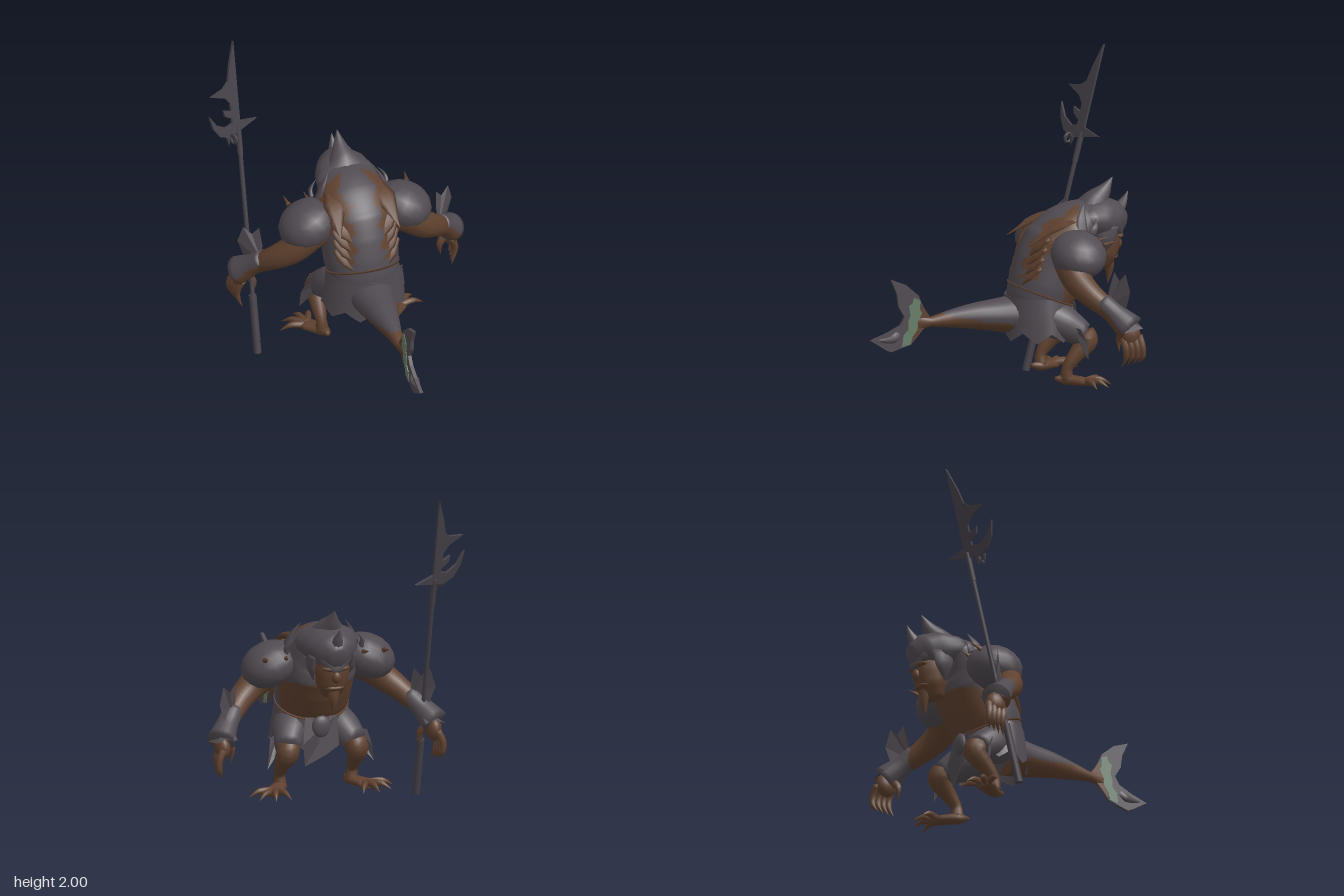
import * as THREE from 'three';

const paint = (name, color) => {
  const m = new THREE.MeshStandardMaterial({ color, side: THREE.DoubleSide });
  m.name = name;
  return m;
};
const V = (a) => new THREE.Vector3(a[0], a[1], a[2]);

export function createModel() {
  const hide = paint('slate hide', 0x514b51), skin = paint('brown skin', 0x5f412f);
  const iron = paint('dark iron', 0x464249), green = paint('tail green', 0x677f69);
  const root = new THREE.Group();
  root.name = 'seaWarrior';
  const body = new THREE.Group();
  body.name = 'body';
  body.position.x = 0.04;
  root.add(body);

  const add = (name, geo, mat, parent = body) => {
    const m = new THREE.Mesh(geo, mat);
    m.name = name;
    parent.add(m);
    return m;
  };

  // Smooth loft through sections [x, y, z, radiusA, radiusB]; pick(point) chooses a material index
  const loft = (name, secs, mat, { ref = [1, 0, 0], seg = 12, steps = 4, pick = null } = {}) => {
    const path = new THREE.CatmullRomCurve3(secs.map(V));
    const rad = secs.map((s) => [s[3], s[4] ?? s[3]]);
    const n = (secs.length - 1) * steps, pos = [], idx = [[], []];
    for (let i = 0; i <= n; i++) {
      const t = i / n, c = path.getPoint(t), T = path.getTangent(t);
      const k = Math.min(Math.floor(i / steps), secs.length - 2), f = i / steps - k;
      const ra = THREE.MathUtils.lerp(rad[k][0], rad[k + 1][0], f);
      const rb = THREE.MathUtils.lerp(rad[k][1], rad[k + 1][1], f);
      const A = V(ref).addScaledVector(T, -V(ref).dot(T)).normalize();
      const B = T.clone().cross(A);
      for (let j = 0; j < seg; j++) {
        const a = (j / seg) * Math.PI * 2;
        const p = c.clone().addScaledVector(A, ra * Math.cos(a)).addScaledVector(B, rb * Math.sin(a));
        pos.push(p.x, p.y, p.z);
      }
    }
    const e = pos.length / 3;
    pos.push(...secs[0].slice(0, 3), ...secs.at(-1).slice(0, 3));
    const face = (...f) => {
      const p = [0, 1, 2].map((d) => f.reduce((s, q) => s + pos[q * 3 + d], 0) / 3);
      idx[pick ? pick(...p) : 0].push(...f);
    };
    for (let j = 0; j < seg; j++) {
      const j2 = (j + 1) % seg;
      for (let i = 0; i < n; i++) {
        const a = i * seg + j, b = i * seg + j2;
        face(a, b, b + seg);
        face(a, b + seg, a + seg);
      }
      face(e, j2, j);
      face(e + 1, n * seg + j, n * seg + j2);
    }
    const g = new THREE.BufferGeometry();
    g.setAttribute('position', new THREE.Float32BufferAttribute(pos, 3));
    g.setIndex([...idx[0], ...idx[1]]);
    if (pick) {
      g.addGroup(0, idx[0].length, 0);
      g.addGroup(idx[0].length, idx[1].length, 1);
    }
    g.computeVertexNormals();
    return add(name, g, mat);
  };
  const ball = (name, mat, c, r) => add(name, new THREE.SphereGeometry(1, 16, 10).scale(...r).translate(...c), mat);
  // Flat polygon fan from 3D corners
  const fan = (name, pts, mat) => {
    const g = new THREE.BufferGeometry().setFromPoints(
      pts.slice(2).flatMap((p, i) => [V(pts[0]), V(pts[i + 1]), V(p)]));
    g.computeVertexNormals();
    return add(name, g, mat);
  };
  const plate = (pts, depth) => new THREE.ExtrudeGeometry(
    new THREE.Shape(pts.map((p) => new THREE.Vector2(...p))), { depth, bevelEnabled: false }).translate(0, 0, -depth / 2);

  // Torso: brown flanks with a notched edge on the back, brown belly in front
  loft('torso', [
    [0, 0.5, -0.19, 0.19, 0.165], [0, 0.58, -0.215, 0.218, 0.195], [0, 0.67, -0.25, 0.232, 0.215], [0, 0.78, -0.3, 0.235, 0.23],
    [0, 0.9, -0.36, 0.245, 0.23], [0, 1.0, -0.43, 0.235, 0.175], [0, 1.06, -0.52, 0.18, 0.12], [0, 1.06, -0.6, 0.12, 0.1],
  ], [hide, skin], {
    seg: 56, steps: 7, pick: (x, y, z) => {
      const ax = Math.abs(x), back = z + 0.2 + 0.45 * (y - 0.56) > 0.02;
      if (!back) return y > 0.5 && y < 0.8 && z < -0.3 ? 1 : 0;
      const saw = ((y + ax * 0.9) * 9) % 1;
      return y > 0.74 && ax < (y > 0.9 ? 0.24 : 0.19) && ax > 0.06 + 0.06 * saw ? 1 : 0;
    },
  });
  loft('beltSeam', [[0, 0.614, -0.229, 0.231, 0.211], [0, 0.624, -0.233, 0.233, 0.213]], skin, { seg: 28, steps: 1 });

  // Ragged skirt, narrower at the back
  const skirt = new THREE.CylinderGeometry(1, 1, 1, 32, 3, true), sp = skirt.attributes.position;
  for (let i = 0; i < sp.count; i++) {
    const t = 0.5 - sp.getY(i), a = Math.atan2(sp.getX(i), sp.getZ(i));
    const rag = t > 0.9 ? [0, 0.03, 0.06, 0.03][((Math.round(a / Math.PI * 16) % 4) + 4) % 4] : 0;
    const narrow = 1 - 0.12 * Math.max(0, Math.cos(a));
    sp.setXYZ(i, sp.getX(i) * (0.225 + 0.038 * t) * narrow, 0.62 - 0.21 * t - rag, -0.21 + sp.getZ(i) * (0.2 + 0.018 * t));
  }
  skirt.computeVertexNormals();
  add('skirt', skirt, hide);
  fan('loincloth', [[-0.1, 0.56, -0.42], [-0.11, 0.38, -0.45], [-0.03, 0.32, -0.44], [0.1, 0.25, -0.42], [0.12, 0.4, -0.45], [0.1, 0.56, -0.42]], hide);
  ball('buckle', hide, [0, 0.5, -0.43], [0.06, 0.07, 0.03]);

  // Tail with brown underside
  loft('tail', [[0, 0.5, -0.1, 0.15, 0.12], [0, 0.5, 0, 0.125, 0.11], [0, 0.505, 0.2, 0.085, 0.08],
    [0, 0.5, 0.35, 0.05, 0.055], [0, 0.49, 0.48, 0.03, 0.03], [0, 0.49, 0.6, 0.01, 0.05]], [hide, skin], {
    seg: 20, steps: 6, pick: (x, y, z) => (z > 0.4 || y < 0.455 + z * 0.19 ? 1 : 0),
  });
  const sideways = (g) => g.rotateY(-Math.PI / 2);
  add('tailFin', sideways(plate([[0.48, 0.5], [0.54, 0.61], [0.56, 0.66], [0.64, 0.73], [0.74, 0.77], [0.7, 0.68], [0.69, 0.6],
    [0.65, 0.53], [0.68, 0.48], [0.76, 0.44], [0.87, 0.4], [0.78, 0.34], [0.74, 0.32], [0.61, 0.36], [0.53, 0.45]], 0.022)), hide);
  add('tailFinRoot', sideways(plate([[0.47, 0.5], [0.54, 0.6], [0.55, 0.57], [0.575, 0.5], [0.59, 0.43], [0.61, 0.37], [0.53, 0.45]], 0.026)), skin);
  add('tailStripe', sideways(plate([[0.55, 0.63], [0.59, 0.65], [0.605, 0.61], [0.625, 0.6], [0.615, 0.54], [0.63, 0.5], [0.63, 0.45],
    [0.66, 0.42], [0.67, 0.35], [0.615, 0.36], [0.6, 0.41], [0.57, 0.45], [0.565, 0.5], [0.54, 0.55], [0.555, 0.58]], 0.03)), green);
  loft('tailRib', [[0, 0.44, 0.68, 0.008, 0.03], [0, 0.4, 0.73, 0.035, 0.03], [0, 0.4, 0.87, 0.002, 0.002]], hide, { seg: 8 });

  // Head: face, hood and crest
  loft('face', [[0, 1.05, -0.63, 0.1, 0.1], [0, 0.93, -0.645, 0.11, 0.1], [0, 0.84, -0.63, 0.1, 0.095], [0, 0.76, -0.61, 0.06, 0.06]], skin);
  ball('lips', skin, [0, 0.82, -0.69], [0.065, 0.02, 0.04]);
  ball('nose', skin, [0, 0.895, -0.73], [0.03, 0.04, 0.03]);
  ball('brow', skin, [0, 0.95, -0.72], [0.09, 0.022, 0.04]);
  loft('beard', [[0, 0.82, -0.67, 0.05, 0.04], [0, 0.74, -0.68, 0.03, 0.028], [0, 0.65, -0.67, 0.003, 0.003]], skin, { seg: 8 });
  loft('hood', [[0, 1.08, -0.42, 0.17, 0.06], [0, 1.07, -0.52, 0.195, 0.11], [0, 1.06, -0.62, 0.17, 0.13],
    [0, 1.04, -0.71, 0.125, 0.115], [0, 1.02, -0.775, 0.045, 0.06]], hide, { seg: 18 });
  loft('hoodRim', [[0, 1.06, -0.68, 0.12, 0.08], [0, 0.99, -0.715, 0.1, 0.05], [0, 0.935, -0.755, 0.03, 0.012]], hide, { seg: 14 });
  loft('crest', [[0, 1.08, -0.52, 0.17, 0.09], [0, 1.165, -0.59, 0.09, 0.075], [0, 1.225, -0.645, 0.045, 0.045], [0, 1.305, -0.7, 0.002]], hide);
  loft('frontHorn', [[0, 1.07, -0.71, 0.055, 0.055], [0, 1.14, -0.765, 0.03, 0.03], [0, 1.21, -0.8, 0.002]], hide, { seg: 8 });

  // Depth of the back surface at a given side offset and height
  const onBack = (x, y) => [x, y, -0.035 - 0.3 * (y - 0.65) - 2.2 * x * x];

  for (const s of [1, -1]) {
    const side = s > 0 ? 'left' : 'right';
    const mx = (list) => list.map(([x, ...r]) => [x * s, ...r]);
    const limb = (name, secs, mat, seg = 10, ref = [0, 0, 1], pick = null) => loft(side + name, mx(secs), mat, { seg, ref, pick });

    // Cheek flaps, collar spikes and thorns
    limb('Cheek', [[0.12, 1.03, -0.62, 0.08, 0.03], [0.125, 0.94, -0.61, 0.06, 0.025], [0.1, 0.85, -0.59, 0.005]], hide);
    limb('CollarSpike', [[0.22, 1.02, -0.42, 0.04, 0.02], [0.19, 1.1, -0.43, 0.03, 0.012], [0.14, 1.18, -0.46, 0.001]], hide, 6);
    limb('ShoulderSpike', [[0.24, 1.01, -0.48, 0.03, 0.015], [0.24, 1.05, -0.5, 0.02, 0.01], [0.2, 1.1, -0.52, 0.001]], hide, 6);
    for (const x of [0.25, 0.38]) limb('Thorn', [[x, 0.97, -0.5, 0.018], [x + 0.01, 0.99, -0.57, 0.001]], skin, 6);

    // Overlapping leaf plates lying down the back
    for (let i = 0; i < 4; i++) {
      const y = 1.0 - i * 0.06;
      limb('BackPlate', [[...onBack(0.19, y), 0.03, 0.012], [...onBack(0.14, y - 0.07), 0.038, 0.016], [...onBack(0.065, y - 0.15), 0.001]], skin, 6, [1, 0, 0]);
    }
    limb('BackSpine', [[0.13, 1.09, -0.45, 0.04, 0.02], [0.16, 1.055, -0.28, 0.07, 0.02], [0.19, 0.95, -0.08, 0.001]], skin, 6, [1, 0, 0]);

    // Arm, pauldron and cuff
    limb('Arm', [[0.17, 0.92, -0.36, 0.12], [0.3, 0.86, -0.325, 0.11], [0.41, 0.765, -0.325, 0.09], [0.5, 0.695, -0.37, 0.076],
      [0.59, 0.61, -0.46, 0.06], [0.66, 0.53, -0.54, 0.04]], skin, 14);
    const cap = ball(side + 'Pauldron', hide, [0, 0, 0], [0.182, 0.137, 0.172]);
    cap.position.set(0.31 * s, 0.905, -0.365);
    cap.rotation.z = -0.42 * s;
    limb('ElbowSpur', [[0.46, 0.73, -0.35, 0.04], [0.5, 0.79, -0.31, 0.001]], skin, 6);
    limb('Cuff', [[0.56, 0.655, -0.425, 0.062], [0.62, 0.585, -0.49, 0.067], [0.685, 0.505, -0.565, 0.092, 0.085]], [hide, skin], 20, [0, 0, 1],
      (x, y, z) => {
        const d = Math.abs(x) - 0.56;
        return z > -0.395 - d * 1.08 && y < 0.695 - d * 1.15 ? 1 : 0;
      });
    fan(side + 'ArmFin', mx([[0.57, 0.62, -0.45], [0.56, 0.73, -0.47], [0.57, 0.84, -0.5], [0.61, 0.79, -0.52], [0.66, 0.84, -0.54],
      [0.69, 0.73, -0.56], [0.64, 0.58, -0.54]]), hide);
    fan(side + 'CuffFin', mx([[0.6, 0.6, -0.47], [0.745, 0.49, -0.5], [0.73, 0.51, -0.63], [0.67, 0.53, -0.62], [0.6, 0.52, -0.64]]), hide);

    // Hand and clawed fingers
    ball(side + 'Palm', skin, [0.675 * s, 0.465, -0.565], [0.048, 0.075, 0.065]);
    for (let i = 0; i < 4; i++) {
      const z = -0.515 - i * 0.034, x = 0.67 + i * 0.005;
      limb('Finger', [[x, 0.46, z, 0.024], [x + 0.03, 0.39, z - 0.012, 0.022], [x + 0.027, 0.33, z - 0.015, 0.017],
        [x + 0.003, 0.265 + 0.008 * i, z + 0.005, 0.001]], skin, 7);
    }
    limb('Thumb', [[0.65, 0.49, -0.54, 0.03], [0.6, 0.43, -0.52, 0.022], [0.605, 0.35, -0.52, 0.001]], skin, 7);

    // Leg, knee fin and clawed foot
    limb('Thigh', [[0.11, 0.505, -0.215, 0.125], [0.17, 0.45, -0.33, 0.11], [0.22, 0.385, -0.435, 0.075]], hide, 14, [1, 0, 0]);
    limb('Shin', [[0.21, 0.4, -0.43, 0.072], [0.222, 0.35, -0.45, 0.072], [0.232, 0.27, -0.38, 0.049],
      [0.232, 0.19, -0.322, 0.034], [0.227, 0.12, -0.32, 0.041]], skin, 12, [1, 0, 0]);
    fan(side + 'KneeFin', mx([[0.25, 0.45, -0.34], [0.31, 0.44, -0.38], [0.33, 0.35, -0.42], [0.34, 0.25, -0.42], [0.29, 0.31, -0.4], [0.26, 0.37, -0.38]]), hide);
    limb('Foot', [[0.21, 0.125, -0.25, 0.012], [0.22, 0.118, -0.31, 0.04, 0.034], [0.29, 0.11, -0.41, 0.058, 0.027], [0.32, 0.1, -0.45, 0.03, 0.018]], skin, 10, [1, 0, 0]);
    for (const [x, z] of [[0.46, -0.43], [0.42, -0.52], [0.33, -0.57], [0.23, -0.56]]) {
      limb('Toe', [[0.29, 0.11, -0.41, 0.025], [0.29 + (x - 0.29) * 0.6, 0.122, -0.41 + (z + 0.41) * 0.6, 0.019], [x, 0.09, z, 0.001]], skin, 7, [0, 1, 0]);
    }
  }

  // Polearm, leaning forward
  const spear = new THREE.Group();
  spear.name = 'polearm';
  spear.position.set(-0.585, 0.005, -0.37);
  spear.rotation.x = -0.245;
  spear.scale.y = 1.028;
  root.add(spear);
  for (const [name, r, y0, y1] of [['butt', 0.024, 0, 0.37], ['shaft', 0.014, 0.3, 1.4], ['collar', 0.018, 1.28, 1.46]]) {
    add(name, new THREE.CylinderGeometry(r, r, y1 - y0, 10).translate(0, (y0 + y1) / 2, 0), iron, spear);
  }
  const head = new THREE.Group();
  head.name = 'polearmHead';
  head.rotation.y = 0.4;
  spear.add(head);
  add('blade', plate([[0.015, 2], [0.015, 1.49], [0.15, 1.465], [0.015, 1.43], [-0.08, 1.41], [-0.15, 1.435], [-0.2, 1.5], [-0.225, 1.59],
    [-0.17, 1.515], [-0.1, 1.48], [-0.05, 1.49], [-0.045, 1.52], [-0.1, 1.55], [-0.11, 1.59], [-0.05, 1.57], [-0.05, 1.62],
    [-0.09, 1.665], [-0.2, 1.705], [-0.1, 1.725], [-0.055, 1.76], [-0.035, 1.85]], 0.016), iron, head);
  for (const x of [-0.05, -0.1]) {
    add('bladeTooth', new THREE.ConeGeometry(0.016, 0.06, 6).rotateX(Math.PI).translate(x, 1.39, 0.02), iron, head);
  }
  add('bladeRing', new THREE.TorusGeometry(0.026, 0.009, 6, 14).rotateY(Math.PI / 2).translate(-0.07, 1.405, 0.035), iron, head);
  return root;
}
